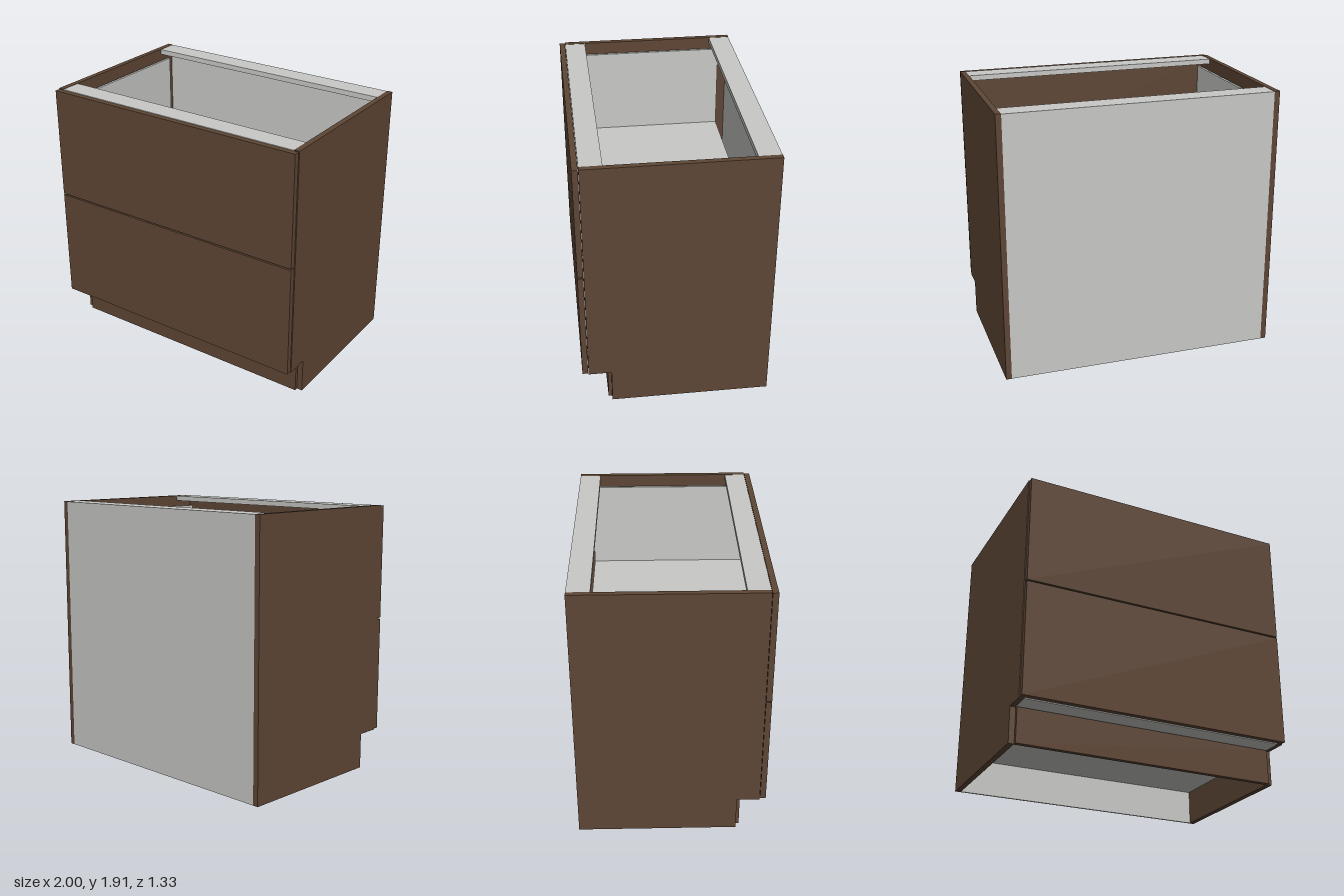
import * as THREE from 'three';

export function createModel() {
  const group = new THREE.Group();
  const brown = new THREE.MeshStandardMaterial({ color: 0x5e4635 });
  brown.name = 'brown front';
  const grey = new THREE.MeshStandardMaterial({ color: 0xc8c8c6 });
  grey.name = 'light grey carcass';

  // Box panel given by its extents along each axis
  function panel(name, material, [x0, x1], [y0, y1], [z0, z1]) {
    const mesh = new THREE.Mesh(new THREE.BoxGeometry(x1 - x0, y1 - y0, z1 - z0), material);
    mesh.position.set((x0 + x1) / 2, (y0 + y1) / 2, (z0 + z1) / 2);
    mesh.name = name;
    group.add(mesh);
  }

  const inner = [-0.96, 0.96];
  const plinth = 0.255;
  const top = 1.915;

  // Side panels, stepped back at the plinth
  for (const s of [-1, 1]) {
    const side = s < 0 ? 'right' : 'left';
    const x = s < 0 ? [-1, -0.96] : [0.96, 1];
    panel(side + 'SidePanel', brown, x, [plinth, top], [-0.665, 0.622]);
    panel(side + 'PlinthSide', brown, x, [0, plinth], [-0.665, 0.46]);
  }

  // Plinth board, floor, back and top rails
  panel('plinthBoard', brown, inner, [0, 0.25], [0.45, 0.485]);
  panel('floorPanel', grey, inner, [plinth, 0.295], [-0.65, 0.62]);
  panel('backPanel', grey, inner, [0, 1.875], [-0.665, -0.65]);
  panel('backRail', grey, inner, [1.875, 1.913], [-0.665, -0.51]);
  panel('frontRail', grey, inner, [1.875, 1.913], [0.47, 0.622]);

  // Two drawers: front, thin side walls and bottom
  for (const [name, y0, y1] of [['lower', 0.26, 1.085], ['upper', 1.095, 1.91]]) {
    panel(name + 'DrawerFront', brown, [-0.995, 0.995], [y0, y1], [0.625, 0.665]);
    const base = y0 + 0.06;
    for (const s of [-1, 1]) {
      const x = s < 0 ? [-0.945, -0.925] : [0.925, 0.945];
      panel(name + (s < 0 ? 'Right' : 'Left') + 'DrawerWall', grey, x, [base, y1 - 0.08], [-0.58, 0.62]);
    }
    panel(name + 'DrawerBottom', grey, [-0.925, 0.925], [base, base + 0.03], [-0.58, 0.62]);
  }
  return group;
}
